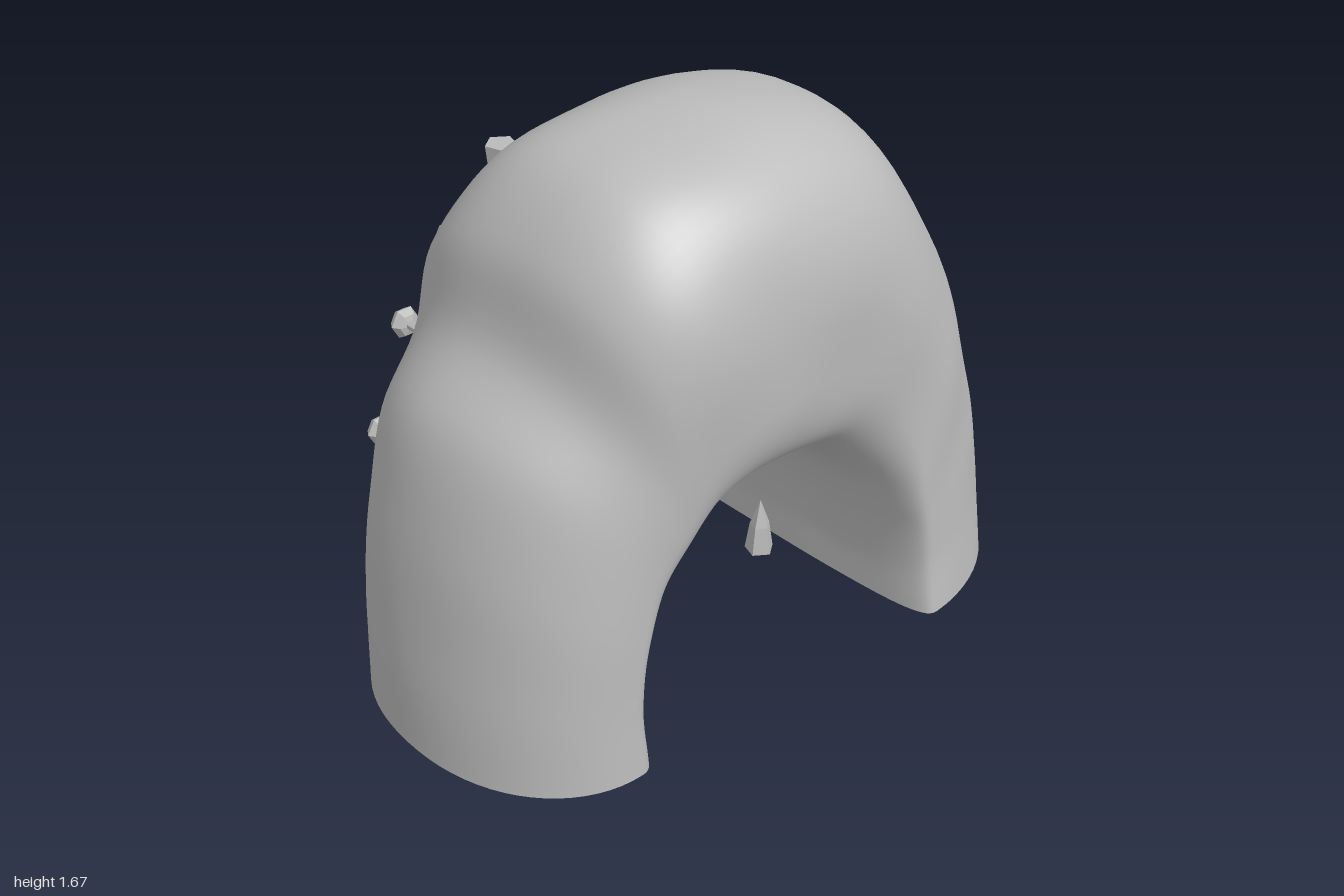
import * as THREE from 'three';

const stone = new THREE.MeshStandardMaterial({ color: 0xbababa });
stone.name = 'stone grey';

// Arch stations from one foot to the other: outer x, y, inner x, y, back z, front z
const STATIONS = [
  [-1, 0.025, -0.51, 0.025, -0.38, 0.59],
  [-0.985, 0.32, -0.53, 0.2, -0.38, 0.58],
  [-0.94, 0.7, -0.51, 0.35, -0.38, 0.57],
  [-0.86, 0.97, -0.45, 0.48, -0.39, 0.57],
  [-0.7, 1.17, -0.36, 0.58, -0.4, 0.58],
  [-0.62, 1.42, -0.28, 0.64, -0.4, 0.6],
  [-0.45, 1.6, -0.2, 0.67, -0.37, 0.62],
  [-0.15, 1.665, -0.1, 0.685, -0.34, 0.63],
  [0.12, 1.65, 0.02, 0.675, -0.33, 0.63],
  [0.32, 1.58, 0.12, 0.645, -0.32, 0.63],
  [0.5, 1.37, 0.22, 0.57, -0.325, 0.63],
  [0.75, 1.0, 0.31, 0.46, -0.355, 0.64],
  [0.9, 0.65, 0.36, 0.33, -0.39, 0.64],
  [0.975, 0.35, 0.385, 0.18, -0.415, 0.64],
  [1, 0.025, 0.39, 0.025, -0.45, 0.665],
];

const curve = (f) => new THREE.CatmullRomCurve3(STATIONS.map(f));
const spow = (v, e) => Math.sign(v) * Math.pow(Math.abs(v), e);
const { lerp, smoothstep } = THREE.MathUtils;

// Gentle lumps over the rock
const lumps = (p) =>
  0.01 * Math.sin(7 * p.x + 3 * p.y + 1) * Math.sin(6 * p.z + 4 * p.y) +
  0.006 * Math.sin(13 * p.x - 9 * p.z) * Math.sin(12 * p.y + 5 * p.z + 2);

function archLoops(n, m) {
  const outer = curve((s) => new THREE.Vector3(s[0], s[1], 0));
  const inner = curve((s) => new THREE.Vector3(s[2], s[3], 0));
  const depth = curve((s) => new THREE.Vector3(s[4], s[5], 0));
  const loops = [];
  for (let i = 0; i <= n; i++) {
    const t = i / n;
    const o = outer.getPoint(t), q = inner.getPoint(t), d = depth.getPoint(t);
    const mid = o.clone().add(q).multiplyScalar(0.5);
    mid.z = (d.x + d.y) / 2;
    // D-shaped section: widest near the opening at the feet, further out in the crown
    const crown = smoothstep(o.y, 0.7, 1.6);
    const widest = lerp(lerp(0.23, 0.13, t), 0.43, crown);
    const outerPower = lerp(lerp(2.1, 2, t), 2.35, crown);
    const innerPower = lerp(lerp(2.3, 2.8, t), 3.3, crown);
    const loop = [];
    for (let j = 0; j < m; j++) {
      const a = (j / m) * Math.PI * 2, c = -Math.cos(a), s = Math.sin(a);
      const e = 2 / (c > 0 ? outerPower : innerPower);
      const u = widest + (c > 0 ? 1 - widest : widest) * spow(c, e);
      const p = q.clone().lerp(o, u);
      p.z = mid.z + ((d.y - d.x) / 2) * spow(s, e) + 0.03 * crown * u * u;
      const k = 1 + lumps(p);
      loop.push(p.sub(mid).multiplyScalar(k).add(mid));
    }
    loops.push(loop);
  }
  return loops;
}

function skin(loops) {
  const m = loops[0].length, idx = [];
  for (let i = 0; i < loops.length - 1; i++)
    for (let j = 0; j < m; j++) {
      const k = (j + 1) % m;
      const a = i * m + j, b = a + m, c = i * m + k, d = c + m;
      idx.push(a, b, c, b, d, c);
    }
  const g = new THREE.BufferGeometry().setFromPoints(loops.flat());
  g.setIndex(idx);
  g.computeVertexNormals();
  return g;
}

function cap(loop, flip) {
  const m = loop.length, idx = [];
  const mid = loop.reduce((s, p) => s.add(p), new THREE.Vector3()).divideScalar(m);
  for (let j = 0; j < m; j++) {
    const k = (j + 1) % m;
    idx.push(m, flip ? k : j, flip ? j : k);
  }
  const g = new THREE.BufferGeometry().setFromPoints([...loop, mid]);
  g.setIndex(idx);
  g.computeVertexNormals();
  return g;
}

// Faceted normals
function faceted(g) {
  const f = g.index ? g.toNonIndexed() : g;
  f.computeVertexNormals();
  return f;
}

function add(parent, name, geometry) {
  const mesh = new THREE.Mesh(geometry, stone);
  mesh.name = name;
  parent.add(mesh);
  return mesh;
}

export function createModel() {
  const model = new THREE.Group();
  model.name = 'rockArch';

  // Rock body and flat undersides of both feet
  const loops = archLoops(90, 72);
  add(model, 'archRock', skin(loops));
  add(model, 'rightFootBase', cap(loops[0], false));
  add(model, 'leftFootBase', cap(loops[loops.length - 1], true));

  // Hanging spikes: x, z, radius, top, tip
  [
    [-0.125, -0.52, 0.048, 1.31, 0.87], [-0.285, -0.415, 0.031, 1.245, 0.94],
    [-0.47, -0.38, 0.028, 1.08, 0.83], [-0.18, -0.38, 0.04, 1.29, 0.87],
    [0, -0.36, 0.037, 1.31, 0.85], [0.08, -0.335, 0.052, 1.31, 0.85],
    [0.36, -0.325, 0.036, 1.165, 0.68], [0.44, -0.495, 0.053, 1.07, 0.655],
  ].forEach(([x, z, r, top, tip]) => {
    const g = new THREE.ConeGeometry(r, top - tip, 5).rotateX(Math.PI);
    add(model, 'stalactite', faceted(g)).position.set(x, (top + tip) / 2, z);
  });

  // Ground spikes: x, z, radius, height
  [
    [-0.42, -0.43, 0.042, 0.165], [-0.33, -0.22, 0.038, 0.335],
    [0.31, -0.38, 0.043, 0.24], [0.33, 0.08, 0.045, 0.18], [0.405, -0.27, 0.045, 0.14],
  ].forEach(([x, z, r, h]) => {
    const profile = [[0, 0], [r, 0], [r * 0.7, h * 0.5], [0, h]].map((p) => new THREE.Vector2(...p));
    add(model, 'stalagmite', faceted(new THREE.LatheGeometry(profile, 5))).position.set(x, 0, z);
  });

  // Knobbed pegs around the back of the opening: x, y of the knob
  const peg = faceted(new THREE.CylinderGeometry(0.013, 0.013, 1, 6));
  const knob = faceted(new THREE.SphereGeometry(0.05, 6, 4).rotateX(Math.PI / 2).scale(0.95, 1, 0.62));
  [[-0.52, 0.48], [-0.41, 0.8], [-0.235, 1.015], [-0.02, 1.1], [0.19, 1.015], [0.37, 0.8], [0.48, 0.48]]
    .forEach(([x, y]) => {
      const head = new THREE.Vector3(x, y - 0.005, -0.635);
      const root = new THREE.Vector3(x * 1.055, y + 0.02, -0.33);
      const dir = root.clone().sub(head);
      const rod = add(model, 'pegRod', peg);
      rod.position.copy(head).addScaledVector(dir, 0.5);
      rod.scale.y = dir.length();
      rod.quaternion.setFromUnitVectors(new THREE.Vector3(0, 1, 0), dir.normalize());
      add(model, 'pegKnob', knob).position.copy(head);
    });
  return model;
}
